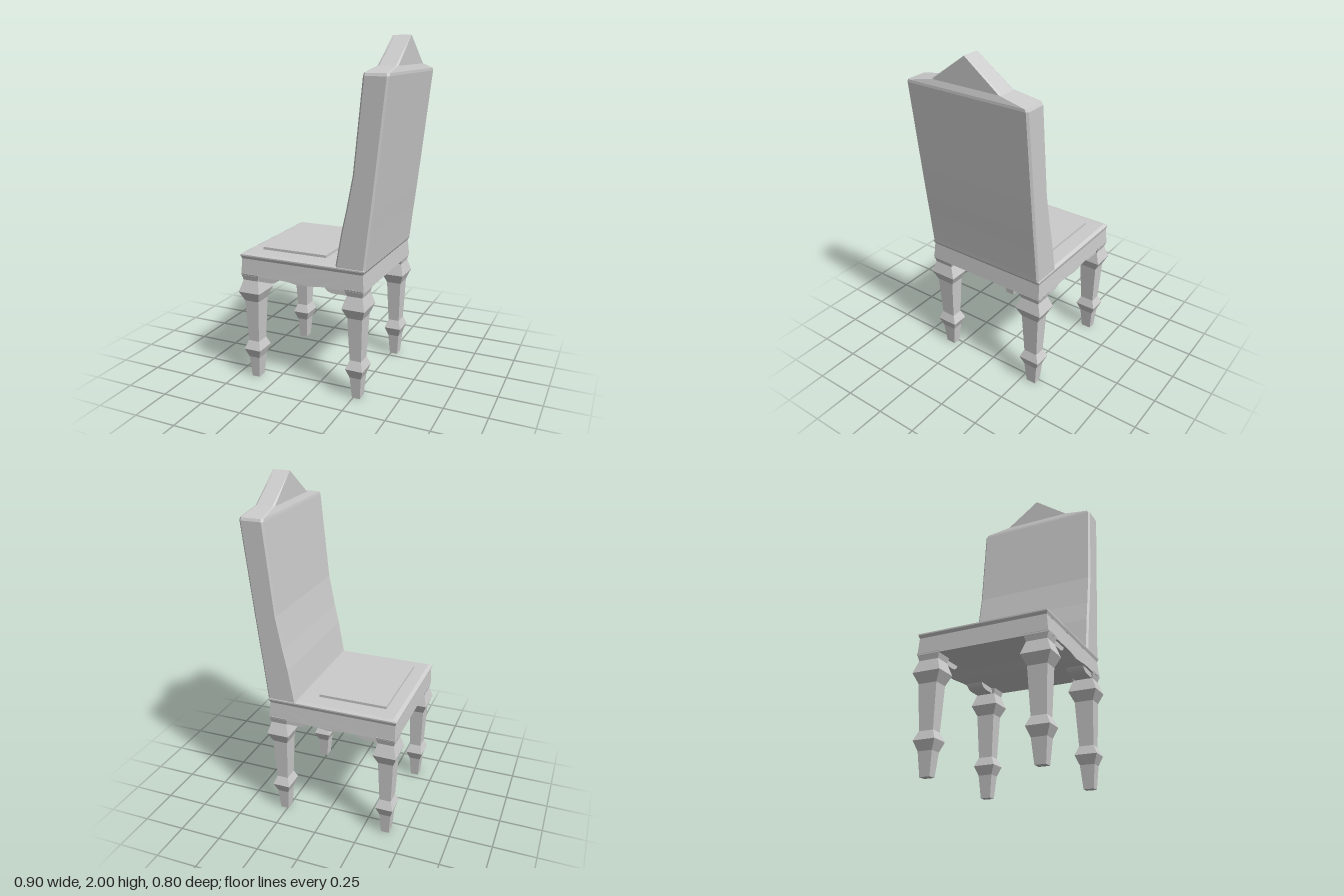
import * as THREE from 'three';

const material = new THREE.MeshStandardMaterial({ color: 0xcccccc, flatShading: true });

// Skin a stack of equal-length rings (bottom to top) and cap both ends.
function loft(rings) {
  const n = rings[0].length;
  const index = [];
  for (let r = 0; r < rings.length - 1; r++) {
    for (let i = 0; i < n; i++) {
      const a = r * n + i, b = r * n + (i + 1) % n;
      index.push(a, a + n, b, b, a + n, b + n);
    }
  }
  const top = (rings.length - 1) * n;
  for (let i = 1; i < n - 1; i++) {
    index.push(0, i, i + 1, top, top + i + 1, top + i);
  }
  const geometry = new THREE.BufferGeometry();
  geometry.setAttribute('position', new THREE.Float32BufferAttribute(rings.flat(2), 3));
  geometry.setIndex(index);
  const flat = geometry.toNonIndexed();
  flat.computeVertexNormals();
  return flat;
}

// Horizontal rectangle with chamfered corners, from x0 to x1 and z = +-w.
function ring(y, x0, x1, w, c = 0.001) {
  const d = Math.min(c, w * 0.4);
  return [
    [x0 + c, y, -w], [x1 - c, y, -w], [x1, y, -w + d], [x1, y, w - d],
    [x1 - c, y, w], [x0 + c, y, w], [x0, y, w - d], [x0, y, -w + d],
  ];
}

export function createModel() {
  const chair = new THREE.Group();
  chair.name = 'chair';
  const add = (name, geometry, x = 0, y = 0, z = 0) => {
    const mesh = new THREE.Mesh(geometry, material);
    mesh.name = name;
    mesh.position.set(x, y, z);
    chair.add(mesh);
    return mesh;
  };

  // Square turned legs: [height, half width], a little deeper in z than in x
  const legProfile = [
    [0, 0.024], [0.13, 0.034], [0.185, 0.052], [0.235, 0.034], [0.36, 0.039],
    [0.49, 0.044], [0.55, 0.067], [0.62, 0.047], [0.66, 0.056],
  ];
  const leg = loft(legProfile.map(([y, r]) => [
    [-r, y, -r * 1.25], [r, y, -r * 1.25], [r, y, r * 1.25], [-r, y, r * 1.25],
  ]));

  // Corner bracket under the apron, curling up towards the middle of the seat
  const bracketShape = new THREE.Shape();
  bracketShape.moveTo(-0.045, 0.62);
  bracketShape.lineTo(0.135, 0.62);
  bracketShape.quadraticCurveTo(0.175, 0.625, 0.185, 0.66);
  bracketShape.lineTo(-0.055, 0.66);
  const bracket = new THREE.ExtrudeGeometry(bracketShape, { depth: 0.1, bevelEnabled: false, curveSegments: 4 });
  bracket.translate(0, 0, -0.05);

  for (const side of [1, -1]) {
    const end = side > 0 ? 'left' : 'right';
    add(end + 'FrontLeg', leg, -0.384, 0, side * 0.317);
    add(end + 'BackLeg', leg, 0.268, 0, side * 0.317);
    add(end + 'FrontBracket', bracket, -0.384, 0, side * 0.322);
    add(end + 'BackBracket', bracket, 0.268, 0, side * 0.322).rotation.y = Math.PI;
  }

  // Apron with a wavy underside, flaring slightly towards the bottom
  const apronShape = new THREE.Shape();
  apronShape.moveTo(-0.44, 0.65);
  for (const [x, y] of [
    [-0.19, 0.652], [-0.14, 0.65], [-0.09, 0.642], [-0.055, 0.638], [-0.02, 0.642],
    [0.03, 0.647], [0.08, 0.652], [0.325, 0.65], [0.315, 0.755], [-0.435, 0.755],
  ]) apronShape.lineTo(x, y);
  const apron = new THREE.ExtrudeGeometry(apronShape, { depth: 0.77, bevelEnabled: false });
  apron.translate(0, 0, -0.385);
  const p = apron.attributes.position;
  for (let i = 0; i < p.count; i++) {
    if (p.getY(i) > 0.7) p.setZ(i, p.getZ(i) * 0.98);
  }
  apron.computeVertexNormals();
  add('apron', apron);

  // Seat board with bevelled rim, and the thin raised panel on it
  add('seat', loft([
    ring(0.75, -0.435, 0.315, 0.378), ring(0.767, -0.443, 0.325, 0.384),
    ring(0.775, -0.443, 0.325, 0.384), ring(0.785, -0.422, 0.31, 0.366),
  ]));
  add('seatPanel', new THREE.BoxGeometry(0.403, 0.02, 0.554), -0.149, 0.79, 0);

  // Raked backrest rising to a pointed crest: [y, front x, back x, half width]
  add('backrest', loft([
    [0.752, 0.162, 0.317, 0.376], [0.77, 0.15, 0.328, 0.381], [0.8, 0.156, 0.331, 0.381],
    [0.98, 0.188, 0.352, 0.381], [1.1, 0.215, 0.367, 0.381], [1.29, 0.252, 0.389, 0.382],
    [1.55, 0.279, 0.418, 0.383], [1.8, 0.305, 0.446, 0.384], [1.815, 0.308, 0.445, 0.377],
    [1.845, 0.32, 0.434, 0.22], [2.0, 0.326, 0.431, 0.001],
  ].map(([y, x0, x1, w]) => ring(y, x0, x1, w, 0.011))));

  return chair;
}
